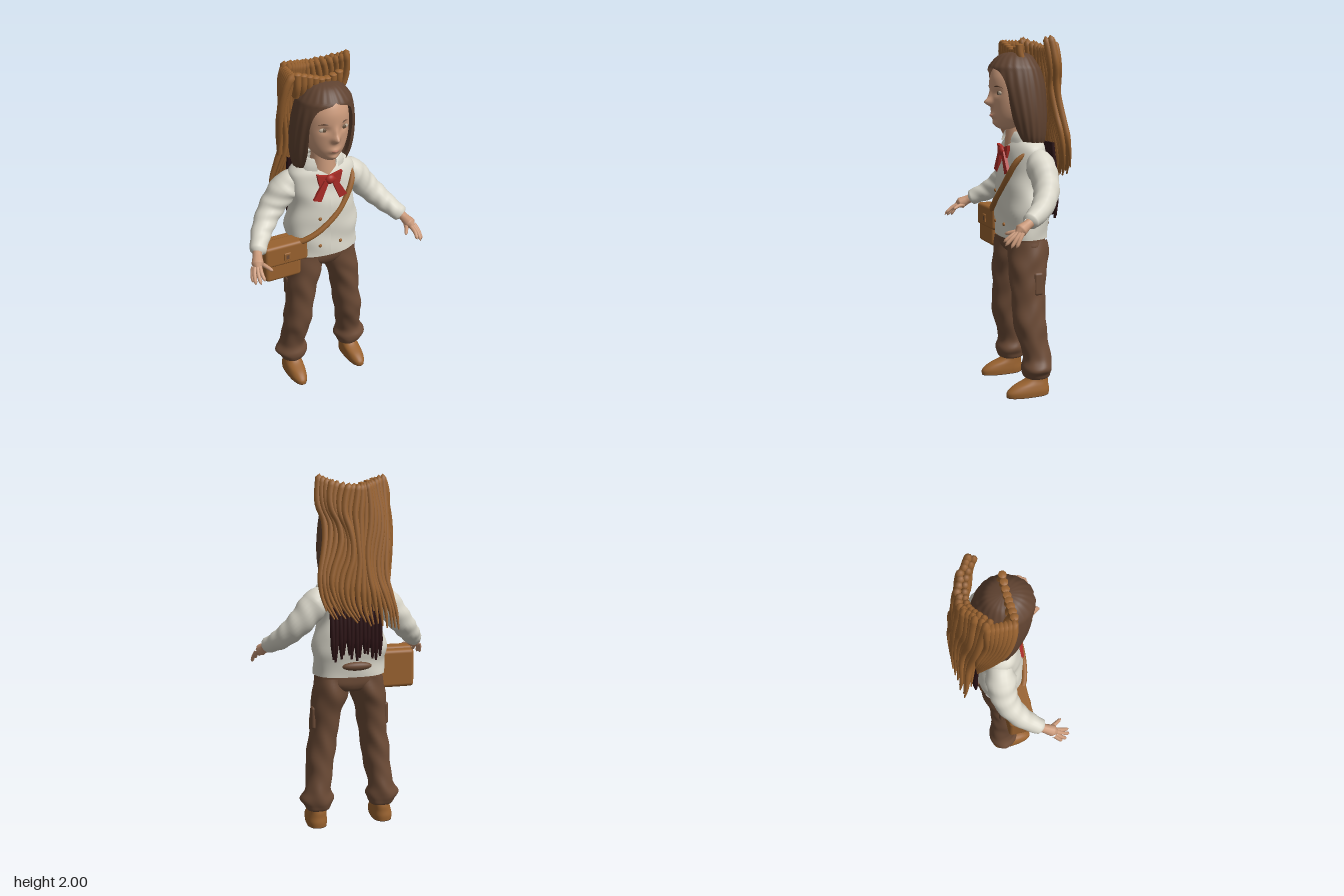
import * as THREE from 'three';
import { mergeVertices } from 'three/addons/utils/BufferGeometryUtils.js';
import { RoundedBoxGeometry } from 'three/addons/geometries/RoundedBoxGeometry.js';

const mat = (name, color, side = THREE.FrontSide) => {
  const m = new THREE.MeshStandardMaterial({ color, side });
  m.name = name;
  return m;
};
const M = {
  skin: mat('skin', 0xcb9a7b), hair: mat('dark hair', 0x5f4230, THREE.DoubleSide),
  leather: mat('tan leather', 0x99622f), shirt: mat('cream cloth', 0xdad7ca, THREE.DoubleSide),
  trousers: mat('brown cloth', 0x6c4b36), red: mat('red ribbon', 0xab2c27),
  maroon: mat('dark maroon', 0x2b1214), white: mat('eye white', 0xb8a894),
  iris: mat('iris brown', 0x64503c), lips: mat('lip pink', 0xbc8069),
};

// Smooth interpolation through a list of numbers, t from 0 to 1
function spline(list, t) {
  const f = t * (list.length - 1), i = Math.min(Math.floor(f), list.length - 2), u = f - i;
  const p = k => list[Math.max(0, Math.min(list.length - 1, k))];
  const [a, b, c, d] = [p(i - 1), p(i), p(i + 1), p(i + 2)];
  return b + 0.5 * u * (c - a + u * (2 * a - 5 * b + 4 * c - d + u * (3 * (b - c) + d - a)));
}

// Skin over horizontal sections, top to bottom: [y, cx, cz, rx, front, back, half-angle of front opening]
function loft(rows, { steps = 6, n = 48, power = 1, shape = null, open = false } = {}) {
  const count = (rows.length - 1) * steps, pos = [], idx = [], cols = open ? n + 1 : n;
  const sp = (v, e) => Math.sign(v) * Math.abs(v) ** e;
  for (let i = 0; i <= count; i++) {
    const [y, cx, cz, rx, rf, rb, o] = [0, 1, 2, 3, 4, 5, 6].map(k => spline(rows.map(r => r[k] ?? 0), i / count));
    const gap = Math.max(0, o);
    for (let j = 0; j < cols; j++) {
      const a = gap + (j / n) * (2 * Math.PI - 2 * gap), c = Math.cos(a);
      const p = new THREE.Vector3(cx + rx * sp(Math.sin(a), power), y, cz + (c > 0 ? rf : rb) * sp(c, power));
      if (shape) shape(p, a, cx, cz);
      pos.push(p.x, p.y, p.z);
    }
  }
  for (let i = 0; i < count; i++) for (let j = 0; j < n; j++) {
    const k = (j + 1) % cols, a = i * cols + j, b = i * cols + k;
    idx.push(a, a + cols, b, b, a + cols, b + cols);
  }
  const g = new THREE.BufferGeometry();
  g.setAttribute('position', new THREE.Float32BufferAttribute(pos, 3));
  g.setIndex(idx);
  g.computeVertexNormals();
  return g;
}

// Tube with varying radius; radii are [t, radius] stops
function limb(points, radii, { n = 24, sides = 10, wrinkle = 0 } = {}) {
  const curve = new THREE.CatmullRomCurve3(points.map(p => new THREE.Vector3(...p)));
  const g = new THREE.TubeGeometry(curve, n, 1, sides, false), pos = g.attributes.position;
  const v = new THREE.Vector3();
  for (let i = 0; i <= n; i++) {
    const t = i / n, c = curve.getPointAt(t);
    const k = Math.max(1, radii.findIndex(r => r[0] >= t));
    const [t0, r0] = radii[k - 1], [t1, r1] = radii[k];
    const r = r0 + (r1 - r0) * (t - t0) / (t1 - t0);
    for (let j = 0; j <= sides; j++) {
      const q = i * (sides + 1) + j, w = 1 + wrinkle * Math.sin(t * 38 + 3 * Math.sin(2 * Math.PI * j / sides));
      v.fromBufferAttribute(pos, q).sub(c).multiplyScalar(r * w).add(c);
      pos.setXYZ(q, v.x, v.y, v.z);
    }
  }
  g.deleteAttribute('uv');
  g.deleteAttribute('normal');
  const m = mergeVertices(g, 1e-5);
  m.computeVertexNormals();
  return m;
}

// Cloth folds
const folds = amount => (p, a, cx, cz) => {
  const w = 1 + amount * (Math.sin(p.y * 42 + 2.5 * Math.sin(a * 2)) + 0.7 * Math.sin(a * 5 + p.y * 23));
  p.x = cx + (p.x - cx) * w;
  p.z = cz + (p.z - cz) * w;
};

export function createModel() {
  const root = new THREE.Group();
  const add = (name, geo, material, x = 0, y = 0, z = 0, sx = 1, sy = sx, sz = sx) => {
    const m = new THREE.Mesh(geo, material);
    m.name = name;
    m.position.set(x, y, z);
    m.scale.set(sx, sy, sz);
    root.add(m);
    return m;
  };
  const ball = new THREE.SphereGeometry(1, 20, 14);

  // Head with sculpted nose, eye sockets, lips and chin
  const bumps = [[0, 1.638, 0.02, 0.02, 0.038], [0, 1.67, 0.014, 0.03, 0.014], [0.053, 1.69, 0.024, 0.018, -0.011],
    [-0.053, 1.69, 0.024, 0.018, -0.011], [0, 1.567, 0.03, 0.016, 0.012], [0, 1.522, 0.025, 0.015, 0.01]];
  const face = p => {
    if (p.z < 0.05) return;
    const { x, y } = p;
    for (const [bx, by, sx, sy, h] of bumps) p.z += h * Math.exp(-(((x - bx) / sx) ** 2) - ((y - by) / sy) ** 2);
  };
  add('head', loft([[1.86, 0, 0.03, 0.005, 0.005, 0.005], [1.84, 0, 0.03, 0.07, 0.09, 0.08], [1.78, 0, 0.03, 0.112, 0.125, 0.1],
    [1.7, 0, 0.03, 0.122, 0.13, 0.11], [1.62, 0, 0.03, 0.118, 0.124, 0.1], [1.56, 0, 0.03, 0.1, 0.117, 0.08],
    [1.52, 0, 0.03, 0.072, 0.105, 0.06], [1.495, 0, 0.04, 0.04, 0.07, 0.04], [1.488, 0, 0.04, 0.004, 0.004, 0.004]],
  { steps: 9, n: 96, shape: face }), M.skin);
  add('neck', new THREE.CylinderGeometry(0.058, 0.075, 0.18, 24), M.skin, 0, 1.47, 0);
  add('lips', limb([[-0.034, 1.568, 0.14], [0, 1.567, 0.158], [0.034, 1.568, 0.14]], [[0, 0], [0.5, 0.008], [1, 0]]), M.lips);
  for (const s of [-1, 1]) {
    add('eye', ball, M.white, s * 0.056, 1.69, 0.131, 0.027, 0.013, 0.011);
    add('iris', ball, M.iris, s * 0.056, 1.69, 0.136, 0.013, 0.012, 0.008);
    add('eyebrow', limb([[s * 0.025, 1.718, 0.153], [s * 0.058, 1.727, 0.145], [s * 0.09, 1.715, 0.12]],
      [[0, 0.002], [0.4, 0.004], [1, 0]]), M.hair);
  }

  // Smooth hair cap, open around the face
  const locks = (p, a, cx, cz) => {
    const w = 1 + 0.012 * Math.sin(a * 22);
    p.x *= w;
    p.z = cz + (p.z - cz) * w;
  };
  add('hairCap', loft([[1.913, 0, 0.01, 0.004, 0.004, 0.004], [1.895, 0, 0.01, 0.08, 0.09, 0.08], [1.84, 0, 0.01, 0.133, 0.147, 0.12, 0],
    [1.8, 0, 0.005, 0.15, 0.162, 0.135, 0.6], [1.72, 0, 0, 0.167, 0.162, 0.15, 0.8], [1.62, 0, -0.01, 0.178, 0.145, 0.145, 0.76],
    [1.53, 0, -0.02, 0.178, 0.125, 0.135, 0.75], [1.45, 0, -0.03, 0.165, 0.1, 0.12, 0.85], [1.4, 0, -0.04, 0.14, 0.08, 0.1, 1.1]],
  { n: 100, open: true, shape: locks }), M.hair);

  // Long rope-like strands sweeping down the back in two layers, pinched and then fanned out
  const left = [-0.165, -0.18, -0.165, -0.155, -0.17, -0.2, -0.205], right = [0.18, 0.215, 0.165, 0.17, 0.215, 0.2, 0.1];
  const strand = (u, end, depth, r) => {
    const pts = [];
    for (let i = 0; i <= 9; i++) {
      const k = end * i / 9, arc = Math.sin(Math.PI * u);
      const x = THREE.MathUtils.lerp(spline(left, k), spline(right, k), u) + 0.012 * Math.sin(k * 11 + u * 9);
      pts.push([x, 1.998 - 0.05 * arc * (1 - k) - 0.83 * k, -0.105 - 0.15 * k - (0.092 - 0.065 * k) * arc + depth]);
    }
    return limb(pts, [[0, 0], [0.001, r], [0.75, r * 0.85], [1, 0.004]], { n: 36, sides: 8 });
  };
  for (let i = 0; i < 17; i++) {
    const u = i / 16;
    add('backStrand', strand(u, 1 - 0.13 * u + 0.04 * Math.sin(i * 4.7) * u, 0.006 * Math.sin(i * 2.3), 0.021), M.leather);
    if (i < 14) add('innerStrand', strand((i + 0.5) / 14, 0.88 + 0.08 * Math.sin(i * 3.1), 0.03, 0.018), M.leather);
  }
  for (let i = 0; i < 7; i++) {
    const z = 0.02 - i * 0.02, x = 0.012 * i;
    add('sideStrand', limb([[-0.165, 1.98, z], [-0.205 + x * 0.3, 1.9, z - 0.01], [-0.228 + x * 0.6, 1.74, z * 0.7 - 0.045],
      [-0.21 + x * 0.4, 1.58, z * 0.5 - 0.11], [-0.19 + x * 0.3, 1.43, -0.17]], [[0, 0], [0.001, 0.021], [0.7, 0.018], [1, 0.004]]), M.leather);
  }
  for (let i = 0; i < 8; i++) {
    const x = -0.15 + i * 0.033;
    add('crownStub', limb([[x, 1.84, -0.005], [x, 1.9, 0.02], [x, 1.925 + Math.abs(x) * 0.35, 0.025]],
      [[0, 0.02], [0.998, 0.02], [1, 0]], { sides: 12 }), M.leather);
  }

  // Dark fringe hanging below the strands
  for (let i = 0; i < 13; i++) {
    const x = -0.135 + i * 0.0225;
    add('darkFringe', limb([[x, 1.42, -0.15], [x, 1.2, -0.175], [x + 0.006 * Math.sin(i * 3), 1.01 + 0.02 * Math.sin(i * 5), -0.178]],
      [[0, 0.012], [0.8, 0.015], [1, 0.006]], { sides: 7 }), M.maroon);
  }
  add('backPouch', ball, M.trousers, -0.01, 0.955, -0.155, 0.085, 0.025, 0.025);

  // Shirt, collar and buttons
  add('shirt', loft([[1.46, 0, -0.015, 0.085, 0.06, 0.075, 0.7], [1.43, 0, -0.025, 0.14, 0.08, 0.095, 0.4], [1.385, 0, -0.03, 0.187, 0.105, 0.105],
    [1.3, 0, -0.025, 0.19, 0.115, 0.12], [1.2, 0, -0.02, 0.178, 0.13, 0.13], [1.06, 0, -0.025, 0.213, 0.135, 0.145],
    [0.97, 0, -0.02, 0.205, 0.13, 0.135], [0.89, 0, -0.018, 0.204, 0.13, 0.13]],
  { n: 64, open: true, power: 0.88, shape: folds(0.013) }), M.shirt);
  add('collar', loft([[1.475, 0, -0.015, 0.088, 0.07, 0.07, 0.8], [1.48, 0, -0.015, 0.104, 0.08, 0.083, 0.72],
    [1.45, 0, -0.015, 0.122, 0.092, 0.098, 0.55], [1.42, 0, -0.015, 0.13, 0.098, 0.104, 0.5]], { open: true, shape: folds(0.025) }), M.shirt);
  for (const [x, y] of [[-0.065, 1.14], [-0.065, 0.965], [0.06, 0.965]]) add('button', ball, M.leather, x, y, 0.108, 0.01, 0.01, 0.008);

  // Neck ribbon
  const plate = pts => new THREE.ExtrudeGeometry(new THREE.Shape(pts.map(p => new THREE.Vector2(...p))), { depth: 0.018, bevelEnabled: false });
  for (const s of [-1, 1]) {
    const order = pts => (s > 0 ? pts : pts.map(([x, y]) => [-x, y]).reverse());
    add('ribbonLoop', plate(order([[0, 1.355], [0.06, 1.335], [0.075, 1.405], [0, 1.385]])), M.red, 0, 0, 0.075);
    add('ribbonTail', plate(order([[0.005, 1.37], [0.055, 1.245], [0.1, 1.26], [0.035, 1.37]])), M.red, 0, 0, 0.085);
  }
  add('ribbonKnot', ball, M.red, 0, 1.37, 0.095, 0.028, 0.027, 0.02);

  // Arms, hands, legs and shoes
  for (const s of [-1, 1]) {
    const mirror = pts => pts.map(([x, y, z]) => [s * x, y, z]);
    add('sleeve', limb(mirror([[0.11, 1.35, -0.035], [0.19, 1.305, -0.05], [0.29, 1.19, -0.045], [0.375, 1.1, 0.02], [0.445, 1.04, 0.125]]),
      [[0, 0.055], [0.2, 0.082], [0.5, 0.07], [0.75, 0.058], [0.95, 0.046], [0.999, 0.043], [1, 0.028]], { n: 50, sides: 20, wrinkle: 0.035 }), M.shirt);
    add('palm', limb(mirror([[0.435, 1.05, 0.1], [0.455, 1.025, 0.15], [0.475, 0.995, 0.205]]),
      [[0, 0.025], [0.4, 0.026], [0.75, 0.034], [1, 0.012]]), M.skin);
    for (const [x, y, z, x0, z0] of [[0.515, 0.93, 0.225, 0.492, 0.18], [0.508, 0.93, 0.252, 0.488, 0.192], [0.486, 0.94, 0.275, 0.476, 0.2],
      [0.463, 0.955, 0.275, 0.463, 0.2], [0.403, 0.985, 0.245, 0.447, 0.165]])
      add('finger', limb(mirror([[x0, 1.0, z0], [(x + x0) / 2 + 0.004, (y + 1) / 2 + 0.005, (z + z0) / 2], [x, y, z]]),
        [[0, 0.013], [0.85, 0.0095], [1, 0]], { n: 12, sides: 8 }), M.skin);

    add('trouserLeg', loft([[0.88, 0.1, -0.015, 0.095, 0.11, 0.115], [0.78, 0.11, -0.015, 0.102, 0.115, 0.12], [0.68, 0.132, -0.005, 0.09, 0.103, 0.108],
      [0.55, 0.146, 0, 0.081, 0.093, 0.1], [0.42, 0.165, 0, 0.083, 0.09, 0.1], [0.32, 0.175, -0.01, 0.077, 0.075, 0.095],
      [0.22, 0.19, -0.035, 0.075, 0.075, 0.083], [0.165, 0.197, -0.035, 0.098, 0.088, 0.085], [0.13, 0.193, -0.035, 0.082, 0.085, 0.08],
      [0.1, 0.19, -0.035, 0.065, 0.065, 0.065], [0.105, 0.19, -0.035, 0.02, 0.02, 0.02]].map(([y, x, ...r]) => [y, s * x, ...r]),
    { shape: folds(0.026) }), M.trousers);
    add('sidePocket', new RoundedBoxGeometry(0.03, 0.13, 0.055, 2, 0.014), M.trousers, s * 0.212, 0.645, -0.035);
    add('shoe', loft([[0.13, s * 0.19, -0.045, 0.045, 0.045, 0.045], [0.09, s * 0.192, -0.04, 0.048, 0.07, 0.06], [0.06, s * 0.195, -0.03, 0.054, 0.135, 0.072],
      [0.03, s * 0.197, -0.03, 0.058, 0.175, 0.076], [0.003, s * 0.197, -0.03, 0.056, 0.178, 0.074]], { power: 0.9 }), M.leather);
    add('sole', loft([[0.005, s * 0.197, -0.03, 0.056, 0.178, 0.074], [0, s * 0.197, -0.03, 0.056, 0.178, 0.074], [0, s * 0.197, -0.03, 0.002, 0.002, 0.002]],
      { steps: 1, power: 0.9 }), M.hair);
  }
  add('trouserSeat', loft([[0.935, 0, -0.018, 0.19, 0.118, 0.118], [0.88, 0, -0.018, 0.197, 0.12, 0.122], [0.835, 0, -0.015, 0.195, 0.105, 0.12],
    [0.8, 0, -0.015, 0.12, 0.075, 0.09], [0.79, 0, -0.015, 0.004, 0.004, 0.004]], { shape: folds(0.008) }), M.trousers);

  // Shoulder bag with flap, clasp and strap
  add('bagBody', new RoundedBoxGeometry(0.215, 0.22, 0.135, 4, 0.022), M.leather, -0.28, 0.9, 0.023);
  add('bagFlap', new RoundedBoxGeometry(0.255, 0.13, 0.095, 4, 0.018), M.leather, -0.263, 0.957, 0.053);
  add('claspPlate', new RoundedBoxGeometry(0.04, 0.05, 0.014, 2, 0.005), M.leather, -0.262, 0.945, 0.1);
  add('claspSlot', new THREE.BoxGeometry(0.016, 0.026, 0.004), M.trousers, -0.262, 0.945, 0.106);
  add('strap', limb([[0.165, 1.375, 0.015], [0.145, 1.32, 0.068], [0.06, 1.185, 0.108], [-0.06, 1.075, 0.114], [-0.15, 1.02, 0.095], [-0.21, 0.99, 0.06]],
    [[0, 0.004], [0.1, 0.016], [1, 0.017]]), M.leather);
  return root;
}
